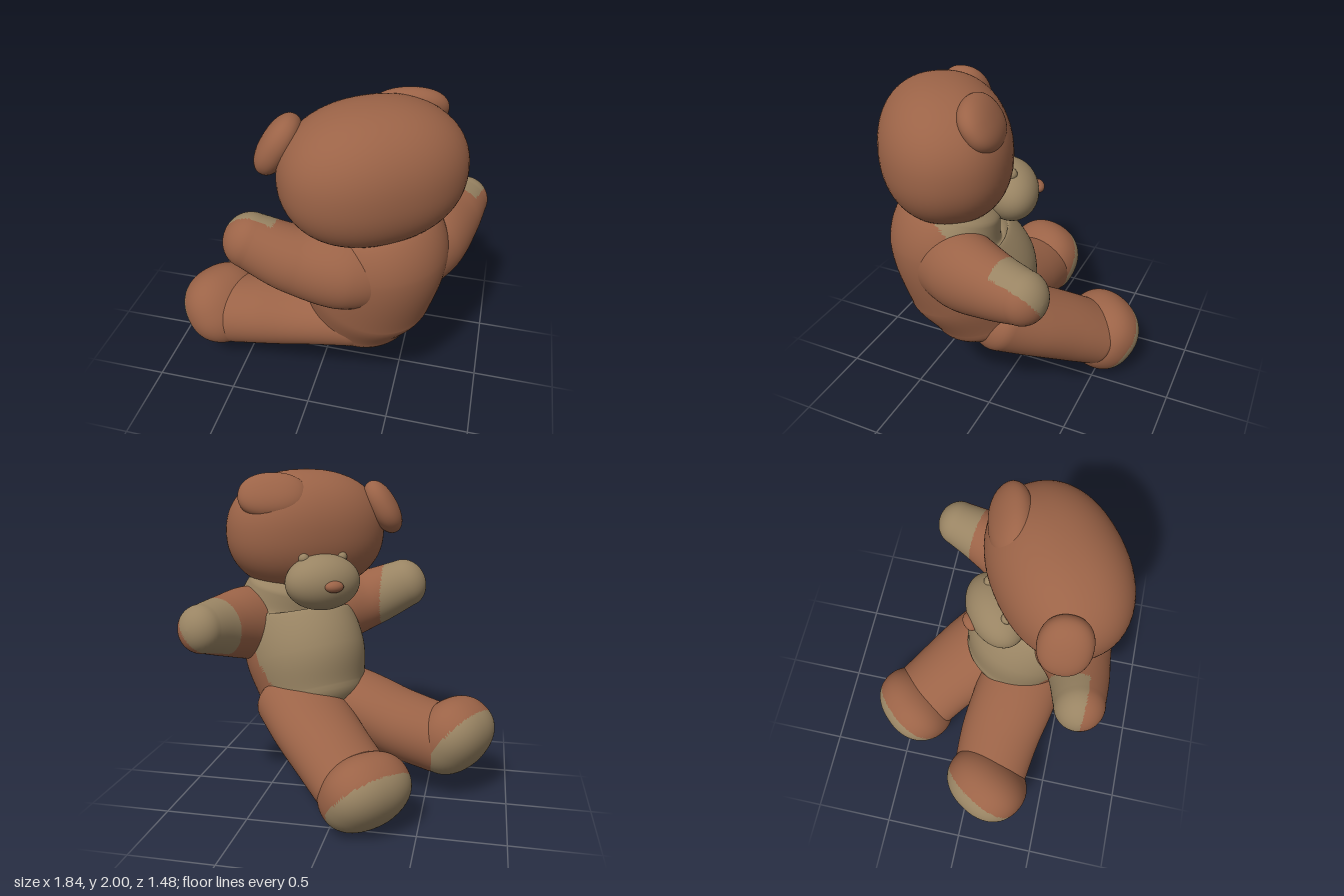
import * as THREE from 'three';
import { mergeVertices } from 'three/addons/utils/BufferGeometryUtils.js';

const V = (a) => new THREE.Vector3(a[0], a[1], a[2]);

export function createModel() {
  const bear = new THREE.Group();
  bear.name = 'teddyBear';
  const fur = new THREE.MeshStandardMaterial({ color: 0x9b6347 });
  fur.name = 'brownFur';
  const pad = new THREE.MeshStandardMaterial({ color: 0x998463 });
  pad.name = 'tanFur';

  // Splits the faces into fur and pad groups; isPad tests a face centre
  function addPart(name, geo, isPad) {
    const pos = geo.attributes.position, idx = geo.index.array, sets = [[], []];
    for (let i = 0; i < idx.length; i += 3) {
      const c = new THREE.Vector3();
      for (let k = 0; k < 3; k++) c.add(new THREE.Vector3().fromBufferAttribute(pos, idx[i + k]));
      sets[isPad(c.divideScalar(3)) ? 1 : 0].push(idx[i], idx[i + 1], idx[i + 2]);
    }
    geo.setIndex([...sets[0], ...sets[1]]);
    geo.addGroup(0, sets[0].length, 0);
    geo.addGroup(sets[0].length, sets[1].length, 1);
    geo.computeVertexNormals();
    const mesh = new THREE.Mesh(geo, [fur, pad]);
    mesh.name = name;
    bear.add(mesh);
  }

  // Plump ellipsoid whose local z looks along "facing"; power > 2 is squarer
  function blob(name, centre, radii, facing, isPad = () => false, power = 2, seg = 48) {
    let geo = new THREE.SphereGeometry(1, seg, Math.round(seg * 0.7));
    geo.deleteAttribute('uv');
    geo.deleteAttribute('normal');
    geo = mergeVertices(geo, 1e-4);
    const pos = geo.attributes.position, p = new THREE.Vector3();
    for (let i = 0; i < pos.count; i++) {
      p.fromBufferAttribute(pos, i);
      const s = Math.abs(p.x) ** power + Math.abs(p.y) ** power + Math.abs(p.z) ** power;
      p.multiplyScalar(s ** (-1 / power));
      pos.setXYZ(i, p.x, p.y, p.z);
    }
    const o = new THREE.Object3D();
    o.lookAt(V(facing));
    o.position.copy(V(centre));
    o.scale.copy(V(radii));
    o.updateMatrix();
    geo.applyMatrix4(o.matrix);
    addPart(name, geo, isPad);
  }

  // Round-ended loft; each section is [x, y, z, radius along side, other radius]
  function loft(name, sections, sideAxis, capStart, capEnd, isPad = () => false) {
    const path = new THREE.CatmullRomCurve3(sections.map(V));
    const size = new THREE.CatmullRomCurve3(sections.map((s) => V([s[3], s[4], 0])));
    const N = 72, CAP = 12, BODY = 60, rings = [];
    for (let i = 0; i <= CAP; i++) rings.push([0, (1 - i / CAP) * Math.PI / 2, -capStart]);
    for (let i = 1; i < BODY; i++) rings.push([i / BODY, 0, 0]);
    for (let i = 0; i <= CAP; i++) rings.push([1, (i / CAP) * Math.PI / 2, capEnd]);
    const pos = [], index = [];
    rings.forEach(([t, a, cap], r) => {
      const tan = path.getTangent(t), rad = size.getPoint(t).multiplyScalar(Math.cos(a));
      const c = path.getPoint(t).addScaledVector(tan, cap * Math.sin(a));
      const n = tan.clone().cross(V(sideAxis)).normalize(), s = n.clone().cross(tan);
      for (let j = 0; j < N; j++) {
        const b = (j / N) * Math.PI * 2;
        const p = c.clone().addScaledVector(s, Math.cos(b) * rad.x).addScaledVector(n, Math.sin(b) * rad.y);
        pos.push(p.x, p.y, p.z);
        if (r < rings.length - 1) {
          const k = (j + 1) % N, A = r * N, B = A + N;
          index.push(A + j, A + k, B + k, A + j, B + k, B + j);
        }
      }
    });
    const geo = new THREE.BufferGeometry();
    geo.setAttribute('position', new THREE.Float32BufferAttribute(pos, 3));
    geo.setIndex(index);
    addPart(name, geo, isPad);
  }

  const face = [-0.57, 0, -0.82];
  const across = [0.72, 0, -0.7];

  // Torso with tan tummy
  loft('torso', [
    [0.36, 1.28, 0.26, 0.34, 0.26],
    [0.40, 1.12, 0.28, 0.37, 0.33],
    [0.31, 0.84, 0.195, 0.38, 0.395],
    [0.25, 0.62, 0.14, 0.34, 0.34],
  ], across, 0.09, 0.19, (p) => p.y > 0.58 && p.x + p.z < 0.36 + (p.y - 0.8) * 0.95);

  // Head, muzzle, nose and eye bumps
  blob('head', [0.325, 1.617, 0.31], [0.51, 0.383, 0.365], face, undefined, 2.2, 64);
  blob('muzzle', [0.15, 1.34, 0.01], [0.235, 0.17, 0.165], face, () => true);
  blob('nose', [0.05, 1.335, -0.12], [0.058, 0.035, 0.04], face, undefined, 2, 20);
  for (const [name, c] of [['leftEye', [0.25, 1.485, -0.05]], ['rightEye', [0.05, 1.485, 0.09]]])
    blob(name, c, [0.033, 0.033, 0.033], face, () => true, 2, 16);

  // Ears lie as flat flaps against the head
  blob('rightEar', [-0.15, 1.765, 0.42], [0.145, 0.18, 0.09], [-0.85, 0.5, 0.05], undefined, 2.2);
  blob('leftEar', [0.45, 1.845, 0.015], [0.21, 0.15, 0.09], [-0.2, 0.58, -0.83], undefined, 2.2);

  // Arms rise out of the back and end in tan paws
  loft('rightArm', [
    [0.42, 1.05, 0.34, 0.22, 0.22],
    [0.20, 1.09, 0.45, 0.25, 0.24],
    [-0.04, 1.15, 0.54, 0.185, 0.195],
    [-0.28, 1.255, 0.575, 0.145, 0.16],
  ], [0, 0, 1], 0.15, 0.14, (p) => p.x < -0.14 && p.z < 0.6);
  loft('leftArm', [
    [0.48, 1.02, 0.28, 0.22, 0.22],
    [0.63, 1.06, 0.06, 0.21, 0.23],
    [0.73, 1.085, -0.18, 0.17, 0.185],
    [0.785, 1.105, -0.36, 0.14, 0.145],
  ], [1, 0, 0], 0.15, 0.13,
  (p) => p.z < -0.2 - (0.84 - p.x) * 0.2 && p.x - 0.76 + (p.z + 0.28) * 0.33 < 0.08 + (p.y - 1.16) * 0.7);

  // Legs, each ending in a foot with a tan sole
  loft('rightLeg', [
    [0.24, 0.61, 0.24, 0.26, 0.20],
    [-0.05, 0.53, 0.20, 0.27, 0.205],
    [-0.32, 0.425, 0.15, 0.26, 0.215],
    [-0.58, 0.345, 0.13, 0.24, 0.215],
  ], [0.1, 0, 1], 0.15, 0.1);
  loft('leftLeg', [
    [0.32, 0.58, 0.02, 0.27, 0.22],
    [0.17, 0.47, -0.14, 0.27, 0.21],
    [0.01, 0.355, -0.30, 0.255, 0.205],
    [-0.12, 0.26, -0.42, 0.25, 0.195],
  ], [0.68, 0, -0.73], 0.15, 0.1);
  for (const [name, c, radii, dir] of [
    ['rightFoot', [-0.66, 0.375, 0.13], [0.27, 0.255, 0.21], [-0.72, -0.53, -0.45]],
    ['leftFoot', [-0.2, 0.235, -0.48], [0.275, 0.245, 0.2], [-0.57, -0.62, -0.54]],
  ]) {
    const n = V(dir).normalize(), centre = V(c);
    blob(name, c, radii, dir, (p) => p.clone().sub(centre).dot(n) > 0.045, 2.25, 64);
  }

  return bear;
}
